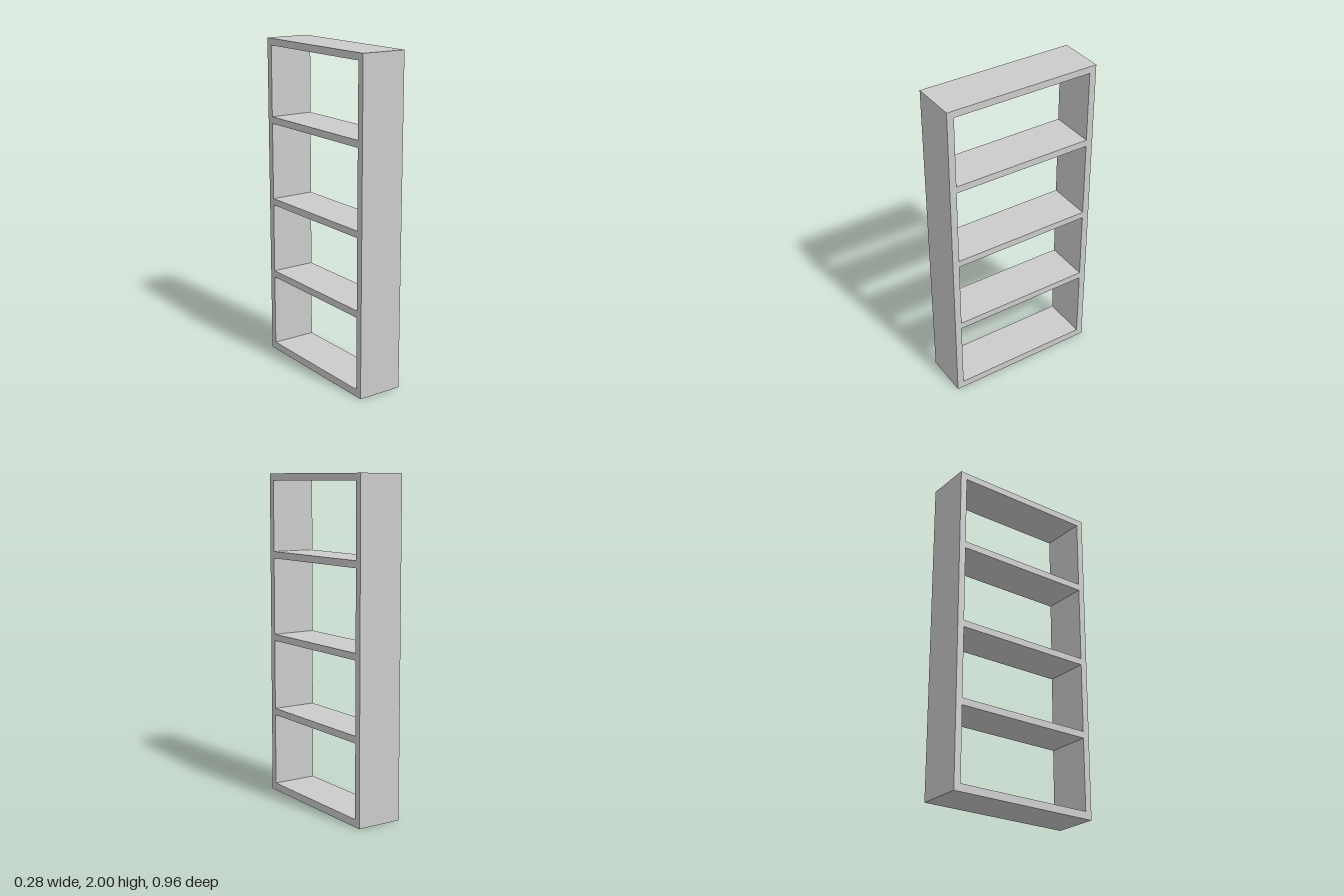
import * as THREE from 'three';

const HEIGHT = 2, HALF_WIDTH = 0.478, DEPTH = 0.282, WALL = 0.042;

// Lower and upper edge of each open compartment, bottom to top
const COMPARTMENTS = [[0.046, 0.492], [0.534, 0.967], [1.008, 1.482], [1.524, 1.958]];

function rectangle(PathType, halfWidth, y0, y1) {
  return new PathType([
    new THREE.Vector2(-halfWidth, y0),
    new THREE.Vector2(halfWidth, y0),
    new THREE.Vector2(halfWidth, y1),
    new THREE.Vector2(-halfWidth, y1),
  ]);
}

export function createModel() {
  const model = new THREE.Group();
  model.name = 'openBookcase';

  // One-piece frame: side panels, top, base and shelves around the open compartments
  const outline = rectangle(THREE.Shape, HALF_WIDTH, 0, HEIGHT);
  for (const [y0, y1] of COMPARTMENTS) {
    outline.holes.push(rectangle(THREE.Path, HALF_WIDTH - WALL, y0, y1));
  }
  const geometry = new THREE.ExtrudeGeometry(outline, { depth: DEPTH, bevelEnabled: false });

  // Centre the depth and turn the open faces towards the sides (±x)
  geometry.translate(0, 0, -DEPTH / 2);
  geometry.rotateY(Math.PI / 2);

  const frame = new THREE.Mesh(geometry, new THREE.MeshStandardMaterial({ color: 0xcccccc }));
  frame.name = 'shelfFrame';
  model.add(frame);
  return model;
}
